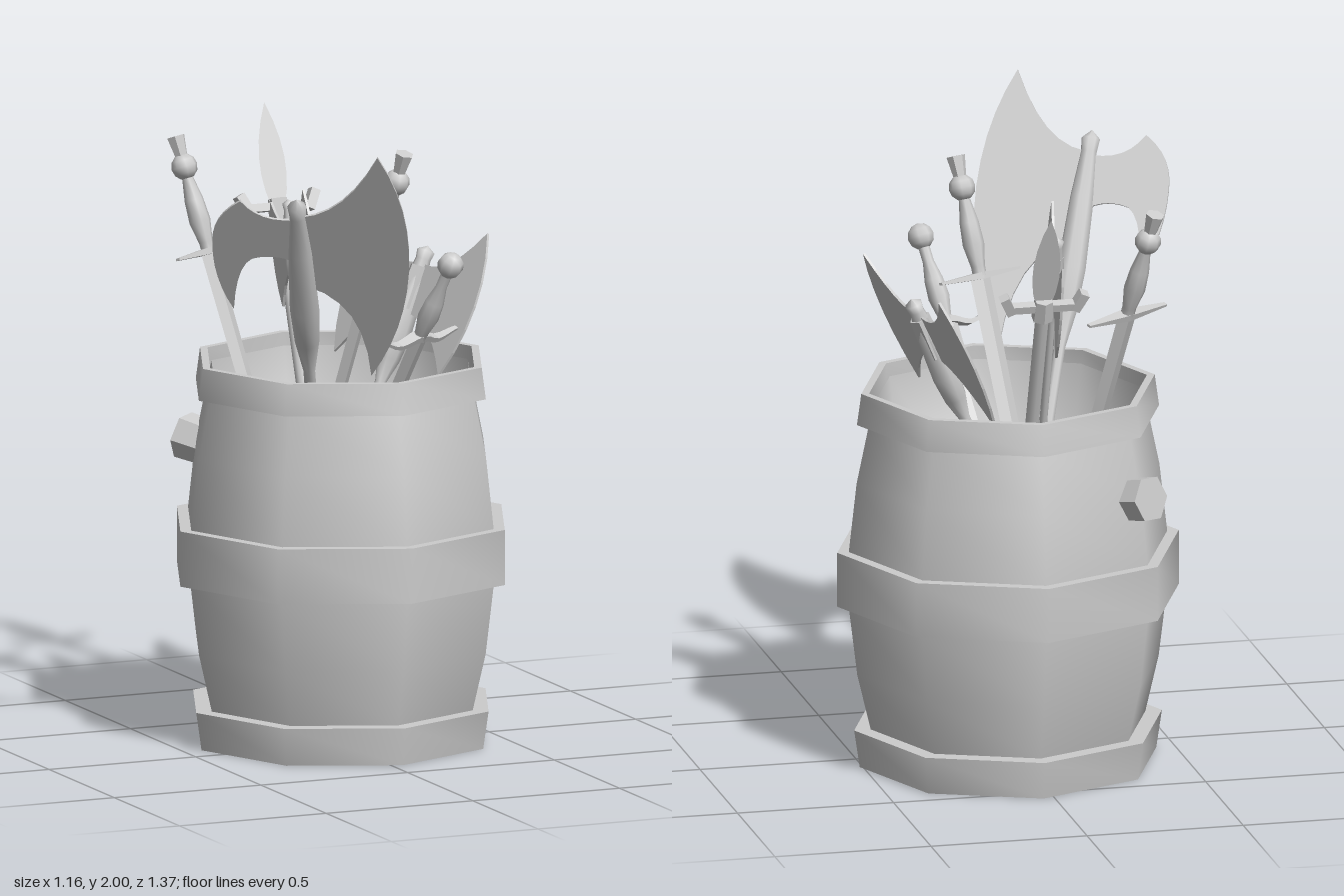
import * as THREE from 'three';
import { toCreasedNormals } from 'three/addons/utils/BufferGeometryUtils.js';

const grey = new THREE.MeshStandardMaterial({ color: 0xcccccc, side: THREE.DoubleSide });
const flat = new THREE.MeshStandardMaterial({ color: 0xcccccc, flatShading: true, side: THREE.DoubleSide });
const V = (x, y, z) => new THREE.Vector3(x, y, z);
const pts = (list) => list.map(([x, y]) => new THREE.Vector2(x, y));

function add(parent, name, geometry, material = grey) {
  const mesh = new THREE.Mesh(geometry, material);
  mesh.name = name;
  parent.add(mesh);
  return mesh;
}

// Group whose y axis follows "up" and whose x axis lies along "across"
function oriented(name, origin, up, across) {
  const group = new THREE.Group();
  group.name = name;
  const y = up.clone().normalize();
  const z = across.clone().cross(y).normalize();
  const x = y.clone().cross(z);
  group.applyMatrix4(new THREE.Matrix4().makeBasis(x, y, z).setPosition(origin));
  return group;
}

// Thin plate; each entry is a straight point [x, y] or a curve [cx, cy, x, y]
function plate(outline) {
  const shape = new THREE.Shape();
  outline.forEach((p, i) => {
    if (i === 0) shape.moveTo(...p);
    else if (p.length === 4) shape.quadraticCurveTo(...p);
    else shape.lineTo(...p);
  });
  const g = new THREE.ExtrudeGeometry(shape, { depth: 0.008, bevelEnabled: false, curveSegments: 6 });
  return g.translate(0, 0, -0.004);
}

function makeBarrel() {
  const barrel = new THREE.Group();
  barrel.name = 'barrel';
  barrel.position.set(0.035, 0, -0.09);
  const staves = [[0.415, 0.03], [0.44, 0.12], [0.483, 0.3], [0.51, 0.52], [0.51, 0.7],
    [0.485, 0.92], [0.445, 1.11], [0.432, 1.17]];
  add(barrel, 'staves', new THREE.LatheGeometry(pts(staves), 8));

  // Raised inner floor with the wall around it
  add(barrel, 'innerFloor', new THREE.LatheGeometry(pts([[0.432, 1.17], [0.364, 0.69], [0, 0.68]]), 8));

  // Hoops: bottom y, top y, outer radius at each, inner radius
  const hoops = [['bottomHoop', 0, 0.12, 0.475, 0.493, 0.44], ['middleHoop', 0.525, 0.7, 0.547, 0.547, 0.508],
    ['topHoop', 1.11, 1.21, 0.484, 0.47, 0.445]];
  for (const [name, y0, y1, r0, r1, inner] of hoops) {
    const ring = [[inner, y0], [r0, y0], [r1, y1], [inner, y1], [inner, y0]];
    add(barrel, name, toCreasedNormals(new THREE.LatheGeometry(pts(ring), 8), 0.9));
  }

  // Bung in the rear
  const bung = add(barrel, 'bung', new THREE.CylinderGeometry(0.075, 0.07, 0.14, 6), flat);
  bung.quaternion.setFromUnitVectors(V(0, 1, 0), V(-0.57, 0.2, -0.82).normalize());
  bung.position.set(-0.325, 0.91, -0.335);
  return barrel;
}

// Sword with the origin at its guard, pommel up and blade down
function makeSword(name, guardAt, pommelAt, across, bladeLength, plain) {
  const up = pommelAt.clone().sub(guardAt);
  const s = up.length() / 0.38;
  const sword = oriented(name, guardAt, up, across);
  const grip = [[0.022, 0], [0.022, 0.03], [0.034, 0.1], [0.03, 0.17], [0.018, 0.24], [0.018, 0.34]];
  add(sword, 'grip', new THREE.LatheGeometry(pts(grip), 8)).scale.y = s;
  add(sword, 'pommel', new THREE.SphereGeometry(0.042, 8, 6)).position.y = (plain ? 0.34 : 0.28) * s;
  if (!plain) {
    add(sword, 'pommelCap', new THREE.CylinderGeometry(0.03, 0.02, 0.07, 6), flat).position.y = 0.345 * s;
  }

  // Guard tapers to both ends, and is wavy on the plain sword
  const guard = new THREE.BoxGeometry(0.34, 0.022, 0.04, 12, 1, 1);
  const p = guard.attributes.position;
  for (let i = 0; i < p.count; i++) {
    const t = p.getX(i) / 0.17;
    const k = 1 - 0.65 * Math.abs(t);
    p.setXYZ(i, p.getX(i), p.getY(i) * k + (plain ? 0.012 * Math.cos(t * 6) : 0), p.getZ(i) * k);
  }
  add(sword, 'guard', guard, flat);

  const blade = new THREE.CylinderGeometry(0.042, 0.03, bladeLength, 4);
  blade.scale(1, 1, 0.3).translate(0, -bladeLength / 2, 0);
  add(sword, 'blade', blade, flat);
  return sword;
}

// Axe haft: a spindle-shaped grip above a thin shaft
function addHaft(axe, top, bottom, gripLength, girth) {
  const grip = [[0.4, -1], [0.83, -0.83], [1, -0.64], [0.83, -0.31], [0.55, -0.1], [0.65, -0.04], [0, 0]];
  const profile = [[0, bottom], [girth * 0.4, bottom], ...grip.map(([r, y]) => [r * girth, top + y * gripLength])];
  add(axe, 'haft', new THREE.LatheGeometry(pts(profile), 8));
}

// Axe with two mirrored blades
function makeDoubleAxe(name, origin, up, across, k, bottom) {
  const axe = oriented(name, origin, up, across);
  const half = [[0.02, 0.09], [0.15 * k, 0.07 * k, 0.28 * k, 0.23 * k], [0.4 * k, 0, 0.28 * k, -0.24 * k],
    [0.16 * k, -0.08 * k, 0.02, -0.07]];
  for (const side of [1, -1]) add(axe, 'blade', plate(half)).rotation.y = side > 0 ? 0 : Math.PI;
  const collar = new THREE.CylinderGeometry(0.034 * k, 0.04 * k, 0.14, 6);
  add(axe, 'collar', collar, flat).position.y = 0.01;
  addHaft(axe, 0.15, bottom, 0.45 * k, 0.044 * k);
  return axe;
}

// Large axe with a broad blade and a hook behind it
function makeGreatAxe() {
  const axe = oriented('greatAxe', V(-0.267, 1.479, 0.307), V(-0.25, 0.87, 0.42), V(0.875, 0.05, 0.48));
  add(axe, 'blade', plate([[0.01, 0.35], [0.15, 0.36, 0.264, 0.587], [0.36, 0.38, 0.335, 0.12],
    [0.31, -0.12, 0.193, -0.3], [0.19, 0, 0.01, 0.07]]));
  add(axe, 'hook', plate([[-0.01, 0.34], [-0.12, 0.33, -0.175, 0.42], [-0.27, 0.36, -0.272, 0.25],
    [-0.28, 0.11, -0.22, -0.02], [-0.2, 0.19, -0.13, 0.19], [-0.06, 0.2, -0.01, 0.16]]));
  addHaft(axe, 0.42, -1.6, 0.7, 0.046);
  return axe;
}

// Spear with a leaf-shaped head and upturned lugs
function makeSpear() {
  const spear = oriented('spear', V(0.04, 1.6, -0.58), V(0, 0.94, -0.33), V(1, 0, 0));
  const leaf = new THREE.Shape();
  leaf.moveTo(-0.022, 0);
  leaf.quadraticCurveTo(-0.075, 0.15, 0, 0.33);
  leaf.quadraticCurveTo(0.075, 0.15, 0.022, 0);
  add(spear, 'head', new THREE.ShapeGeometry(leaf, 6));
  add(spear, 'shaft', new THREE.CylinderGeometry(0.022, 0.022, 1.55, 8)).position.y = -0.775;
  add(spear, 'socket', new THREE.CylinderGeometry(0.03, 0.035, 0.07, 6), flat).position.y = -0.01;
  add(spear, 'ring', new THREE.CylinderGeometry(0.03, 0.03, 0.03, 8), flat).position.y = -0.66;
  add(spear, 'guard', new THREE.BoxGeometry(0.22, 0.025, 0.03), flat);
  for (const side of [-1, 1]) {
    const lug = add(spear, 'lug', new THREE.BoxGeometry(0.03, 0.065, 0.035), flat);
    lug.position.set(side * 0.115, 0.015, 0);
    lug.rotation.z = -side * 0.45;
  }
  return spear;
}

export function createModel() {
  const model = new THREE.Group();
  model.name = 'weaponBarrel';
  model.add(
    makeBarrel(),
    makeGreatAxe(),
    makeSpear(),
    makeDoubleAxe('sideAxe', V(0.3, 1.39, -0.14), V(0.4, 0.9, -0.1), V(0.2, 0.02, 1), 1, -1.4),
    makeDoubleAxe('middleAxe', V(-0.1, 1.56, -0.15), V(0, 0.94, -0.28), V(-0.14, 0.29, 0.93), 0.7, -1.4),
    makeSword('rearSword', V(-0.265, 1.51, -0.43), V(-0.33, 1.86, -0.535), V(0.29, 0, -0.18), 1.56, false),
    makeSword('centreSword', V(0.095, 1.53, 0.035), V(0.145, 1.89, 0.15), V(0.31, 0, -0.19), 1.52, false),
    makeSword('frontSword', V(0.15, 1.32, 0.25), V(0.21, 1.6, 0.385), V(0.3, 0, -0.14), 1.38, true),
  );
  return model;
}
